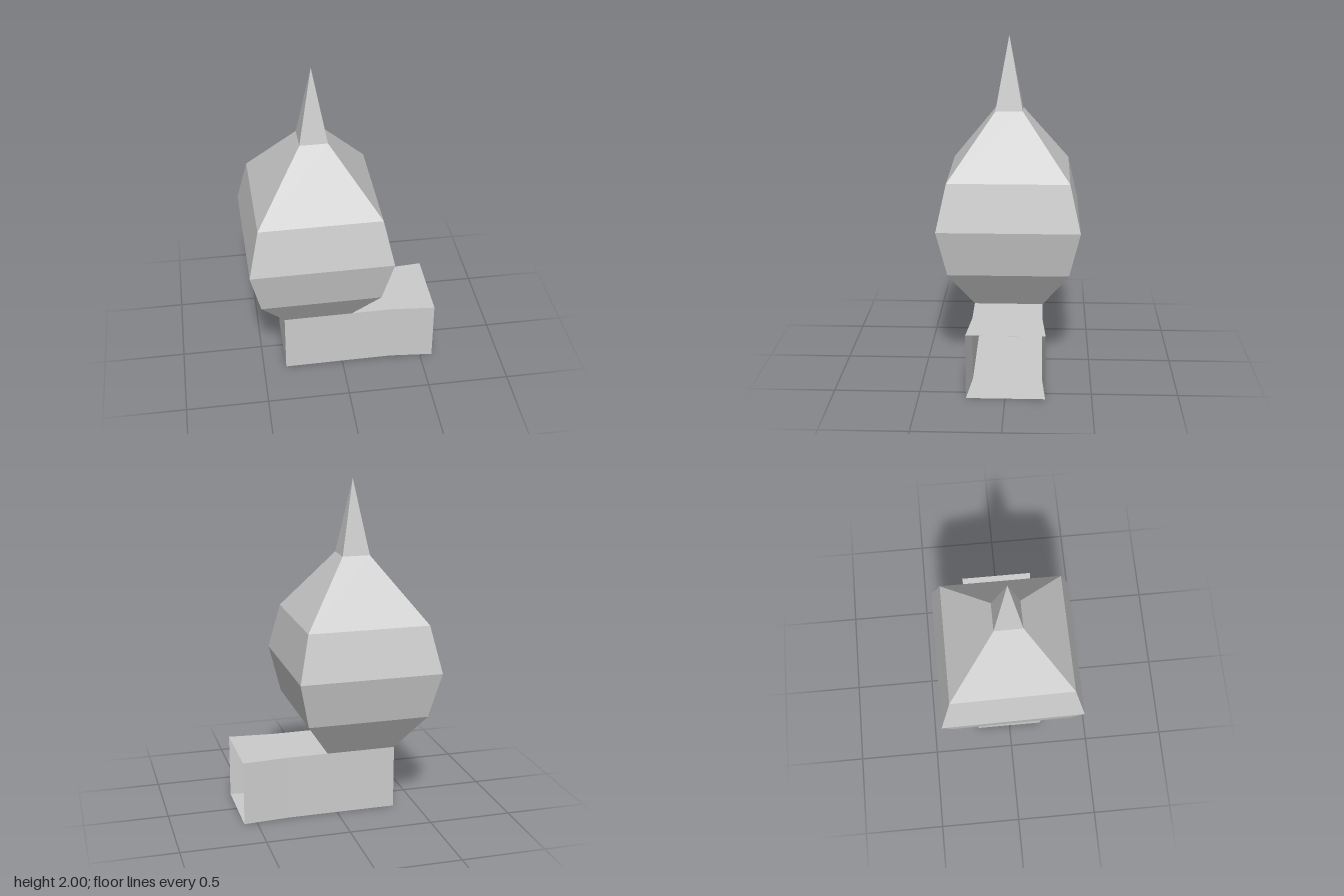
import * as THREE from 'three';

const material = new THREE.MeshStandardMaterial({
  color: 0xcccccc, flatShading: true, side: THREE.DoubleSide,
});

// Skins a list of equal-length rings of [x, y, z] points, leaving both ends open
function loft(name, rings) {
  const points = [];
  for (let r = 0; r < rings.length - 1; r++) {
    const lo = rings[r], hi = rings[r + 1];
    for (let i = 0; i < lo.length; i++) {
      const j = (i + 1) % lo.length;
      for (const [a, b, c] of [[lo[i], lo[j], hi[j]], [lo[i], hi[j], hi[i]]]) {
        const tri = new THREE.Triangle(...[a, b, c].map((p) => new THREE.Vector3(...p)));
        if (tri.getArea() > 1e-8) points.push(...a, ...b, ...c);
      }
    }
  }
  const geometry = new THREE.BufferGeometry();
  geometry.setAttribute('position', new THREE.Float32BufferAttribute(points, 3));
  geometry.computeVertexNormals();
  const mesh = new THREE.Mesh(geometry, material);
  mesh.name = name;
  return mesh;
}

export function createModel() {
  const group = new THREE.Group();
  const centerX = -0.15, height = 0.387;

  // Four-sided onion dome: a slightly uneven square scaled along a [y, radius] profile
  const corners = [[0.995, 0.975], [0.995, -1.005], [-1, -1], [-0.98, 0.995]];
  const profile = [
    [height, 0.21], [0.62, 0.365], [0.9, 0.428], [1.18, 0.365], [1.555, 0.083], [2, 0],
  ];
  group.add(loft('onionDome', profile.map(([y, r]) =>
    corners.map(([x, z]) => [centerX + x * r, y, z * r]))));

  // Box passage: closed behind the dome, flared and open at the left end
  const section = (x, back, front) => [[x, 0, back], [x, height, back], [x, height, front], [x, 0, front]];
  const closedEnd = Array(4).fill([-0.36, height / 2, 0]);
  group.add(loft('basePassage', [
    closedEnd,
    section(-0.36, -0.21, 0.208),
    section(0.06, -0.21, 0.204),
    section(0.31, -0.212, 0.202),
    section(0.577, -0.232, 0.225),
  ]));

  return group;
}
